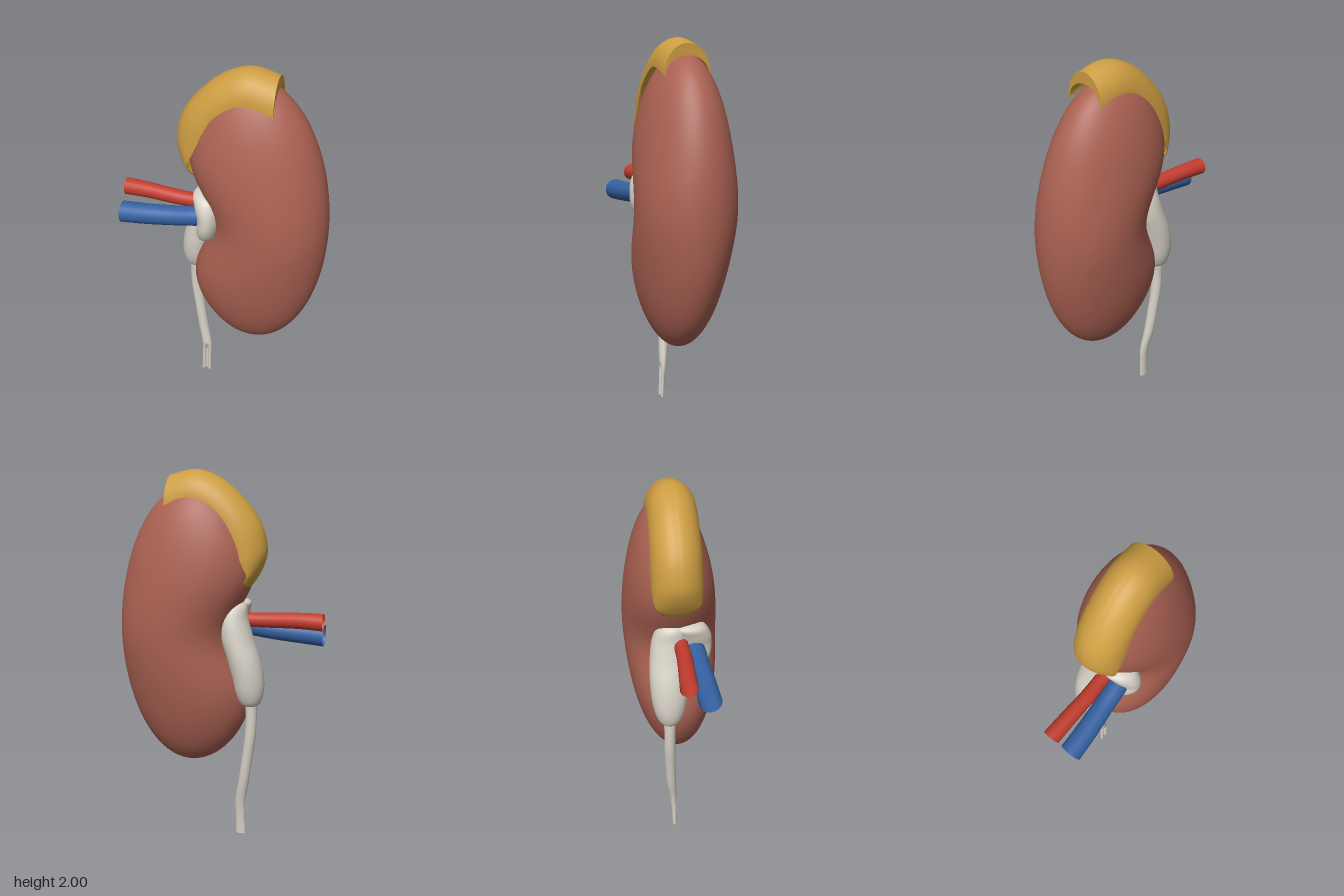
import * as THREE from 'three';
import { toCreasedNormals } from 'three/addons/utils/BufferGeometryUtils.js';

const flat = (name, color, side = THREE.FrontSide) => {
  const m = new THREE.MeshStandardMaterial({ color, side });
  m.name = name;
  return m;
};

// Smooth interpolation through rows of numbers, t from 0 to 1
function sample(keys, t) {
  const n = keys.length - 1;
  const i = Math.min(Math.floor(t * n), n - 1);
  const f = t * n - i;
  const [a, b, c, d] = [i - 1, i, i + 1, i + 2].map(k => keys[Math.max(0, Math.min(n, k))]);
  return b.map((p, k) => p + 0.5 * f * (c[k] - a[k]
    + f * (2 * a[k] - 5 * p + 4 * c[k] - d[k] + f * (3 * (p - c[k]) + d[k] - a[k]))));
}

// Surface of closed rings: point(i, j) gives [x, y, z] for ring i, corner j
function rings(rows, sides, point) {
  const pos = [], index = [];
  for (let i = 0; i <= rows; i++) {
    for (let j = 0; j < sides; j++) {
      pos.push(...point(i, j));
      if (i === rows) continue;
      const a = i * sides + j, b = i * sides + (j + 1) % sides;
      index.push(a, a + sides, b, b, a + sides, b + sides);
    }
  }
  const g = new THREE.BufferGeometry();
  g.setAttribute('position', new THREE.Float32BufferAttribute(pos, 3));
  g.setIndex(index);
  g.computeVertexNormals();
  return g;
}

// Upright tube through keys [x, y, z, radiusX, radiusZ], listed from the bottom up
function uprightTube(keys, rows, sides, shape = p => p) {
  return rings(rows, sides, (i, j) => {
    const [x, y, z, rx, rz] = sample(keys, i / rows);
    const a = j / sides * Math.PI * 2;
    return shape([x + Math.max(rx, 0) * Math.cos(a), y, z + Math.max(rz, 0) * Math.sin(a)], a, rz);
  });
}

// Sideways tube through keys [x, y, z, radius], listed from -x to +x
function sideTube(keys) {
  return rings(24, 28, (i, j) => {
    const [x, y, z, r] = sample(keys, i / 24);
    const a = j / 28 * Math.PI * 2;
    return [x, y + r * Math.cos(a), z - r * Math.sin(a)];
  });
}

// Bean body: an ellipsoid with a hollow pressed into its -x side
function kidneyGeometry() {
  const rows = 64, sides = 64;
  return rings(rows, sides, (i, j) => {
    const phi = i / rows * Math.PI, a = j / sides * Math.PI * 2;
    const h = -Math.cos(phi), s = Math.sin(phi);
    const y = 1.168 + 0.76 * h;
    const mid = 0.155 - 0.02 * h;
    const dent = 0.19 * Math.exp(-(((y - 1.15) / 0.27) ** 2)) * s;
    const right = mid + 0.39 * s, left = mid - 0.41 * s + dent;
    const x = (right + left) / 2 + (right - left) / 2 * Math.cos(a);
    return [x, y, 0.255 * s * Math.sin(a) - 0.026 * h];
  });
}

// Arched shell over the kidney's upper pole, keys [ridgeX, ridgeY, edgeX, edgeY, halfWidth]
function capGeometry() {
  const keys = [
    [-0.10, 1.33, -0.085, 1.35, 0.05], [-0.145, 1.385, -0.12, 1.41, 0.08],
    [-0.19, 1.44, -0.17, 1.475, 0.115], [-0.235, 1.525, -0.15, 1.535, 0.127],
    [-0.25, 1.61, -0.12, 1.60, 0.13], [-0.22, 1.73, -0.085, 1.68, 0.13],
    [-0.14, 1.845, -0.04, 1.76, 0.127], [-0.02, 1.95, 0.045, 1.83, 0.125],
    [0.12, 2.0, 0.13, 1.855, 0.125], [0.262, 1.97, 0.262, 1.815, 0.125],
  ];
  const rows = 50, half = 24;
  const g = rings(rows + 2, half * 2, (i, j) => {
    const u = Math.min(Math.max(i - 1, 0), rows) / rows;
    const [px, py, qx, qy, w] = sample(keys, u);
    const outer = j < half && i > 0 && i < rows + 2;
    const a = (j < half ? j : half * 2 - 1 - j) / (half - 1) * Math.PI;
    const lift = Math.sin(a) * (outer ? 1 : 0.62);
    return [qx + (px - qx) * lift, qy + (py - qy) * lift, w * Math.cos(a) * (outer ? 1 : 0.93)];
  });
  return toCreasedNormals(g, 0.7);
}

export function createModel() {
  const model = new THREE.Group();
  model.name = 'kidney';
  const tissue = flat('kidneyBrown', 0xaa6152);
  const gold = flat('glandGold', 0xcd9d42, THREE.DoubleSide);
  const red = flat('arteryRed', 0xc23d2e, THREE.DoubleSide);
  const blue = flat('veinBlue', 0x3562a3, THREE.DoubleSide);
  const pale = flat('ductIvory', 0xd6d1c6, THREE.DoubleSide);
  const add = (name, geometry, material) => {
    const mesh = new THREE.Mesh(geometry, material);
    mesh.name = name;
    model.add(mesh);
  };

  add('kidneyBody', kidneyGeometry(), tissue);
  add('adrenalGland', capGeometry(), gold);

  // Blood vessels with open outer ends
  add('artery', sideTube([
    [-0.55, 1.24, 0.005, 0.045], [-0.42, 1.24, 0.012, 0.042],
    [-0.28, 1.232, 0.02, 0.04], [-0.17, 1.228, 0.02, 0.038], [-0.06, 1.23, 0.02, 0.038],
  ]), red);
  add('vein', sideTube([
    [-0.54, 1.145, 0.11, 0.057], [-0.4, 1.153, 0.108, 0.055],
    [-0.25, 1.165, 0.1, 0.053], [-0.14, 1.18, 0.096, 0.053], [-0.05, 1.19, 0.09, 0.05],
  ]), blue);

  // Funnel behind, and the bulb that rolls over the front lip
  add('pelvisFunnel', uprightTube([
    [-0.18, 0.765, -0.045, 0, 0], [-0.18, 0.785, -0.045, 0.05, 0.05],
    [-0.175, 0.85, -0.045, 0.077, 0.08], [-0.165, 0.94, -0.045, 0.085, 0.095],
    [-0.14, 1.04, -0.045, 0.088, 0.1], [-0.105, 1.14, -0.04, 0.085, 0.1],
    [-0.085, 1.24, -0.03, 0.075, 0.095], [-0.085, 1.315, -0.02, 0.06, 0.07],
    [-0.085, 1.34, -0.02, 0, 0],
  ], 48, 32), pale);
  add('pelvisBulb', uprightTube([
    [-0.085, 1.04, 0.06, 0, 0], [-0.08, 1.06, 0.07, 0.05, 0.07],
    [-0.07, 1.12, 0.085, 0.06, 0.095], [-0.062, 1.19, 0.09, 0.062, 0.1],
    [-0.07, 1.26, 0.08, 0.072, 0.1], [-0.08, 1.315, 0.06, 0.07, 0.08],
    [-0.085, 1.34, 0.05, 0, 0],
  ], 42, 32), pale);

  // Ureter flattens and folds into a groove at its lower end
  add('ureter', uprightTube([
    [-0.125, 0, -0.012, 0.027, 0.013], [-0.122, 0.1, -0.014, 0.026, 0.015],
    [-0.122, 0.2, -0.02, 0.028, 0.02], [-0.145, 0.33, -0.033, 0.029, 0.027],
    [-0.165, 0.47, -0.04, 0.029, 0.029], [-0.182, 0.6, -0.045, 0.03, 0.03],
    [-0.187, 0.72, -0.045, 0.03, 0.03], [-0.18, 0.82, -0.045, 0.034, 0.034],
  ], 56, 32, ([x, y, z], a, rz) => {
    const groove = Math.max(0, Math.min(1, (0.2 - y) / 0.04));
    const front = Math.max(0, Math.sin(a)) ** 10;
    return [x, y, z - groove * front * rz * 1.6];
  }), pale);

  return model;
}
